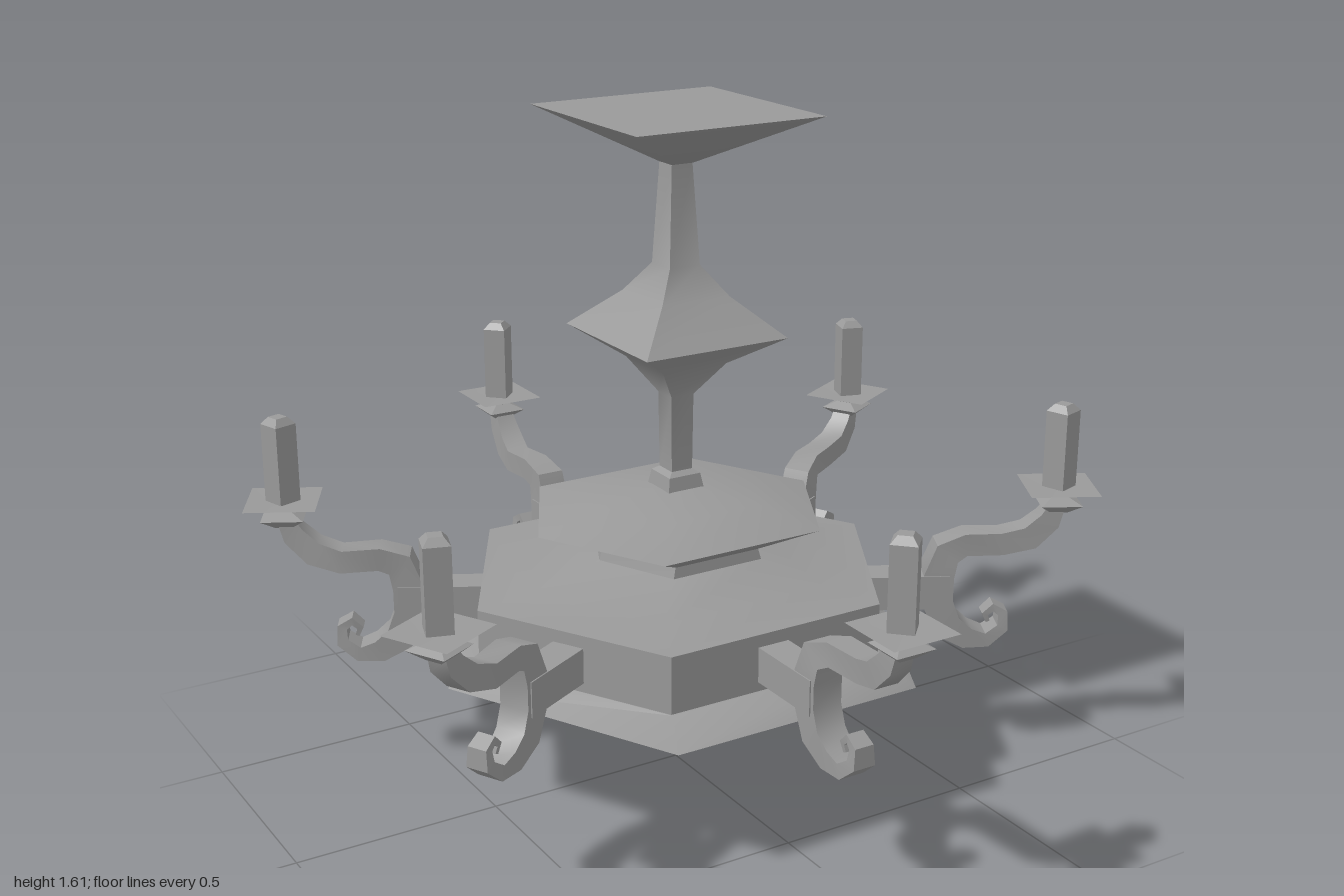
import * as THREE from 'three';
import { toCreasedNormals } from 'three/addons/utils/BufferGeometryUtils.js';

// Skin a list of equal-length rings, running bottom to top, and cap both ends
function loft(rings, crease = 0.6) {
  const pos = [];
  const n = rings[0].length;
  const tri = (...pts) => pts.forEach((p) => pos.push(p.x, p.y, p.z));
  const centre = (ring) => ring.reduce((s, p) => s.add(p), new THREE.Vector3()).divideScalar(n);
  for (let i = 0; i < rings.length - 1; i++) {
    for (let j = 0; j < n; j++) {
      const k = (j + 1) % n;
      const [a, b, c, d] = [rings[i][j], rings[i][k], rings[i + 1][k], rings[i + 1][j]];
      tri(a, d, b);
      tri(b, d, c);
    }
  }
  const first = rings[0], last = rings[rings.length - 1];
  const c0 = centre(first), c1 = centre(last);
  for (let j = 0; j < n; j++) {
    const k = (j + 1) % n;
    tri(c0, first[j], first[k]);
    tri(c1, last[k], last[j]);
  }
  const geo = new THREE.BufferGeometry();
  geo.setAttribute('position', new THREE.Float32BufferAttribute(pos, 3));
  return toCreasedNormals(geo, crease);
}

// Six-sided ring: side corner x, front corner x, front z, height, z shift
const hexRing = ([rx, cx, z, y, dz = 0]) =>
  [[rx, 0], [cx, z], [-cx, z], [-rx, 0], [-cx, -z], [cx, -z]]
    .map(([x, w]) => new THREE.Vector3(x, y, w + dz));

// Square ring, with sides (or corners) facing the axes
const squareRing = ([r, y]) =>
  [[r, -r], [r, r], [-r, r], [-r, -r]].map(([x, z]) => new THREE.Vector3(x, y, z));
const diamondRing = ([r, y]) =>
  [[r, 0], [0, r], [-r, 0], [0, -r]].map(([x, z]) => new THREE.Vector3(x, y, z));

// Rectangular bar swept along [radius, height, half thickness, half width, sideways]
function sweepBar(path) {
  const rings = path.map(([r, y, t, w, s = 0], i) => {
    const a = path[Math.max(i - 1, 0)], b = path[Math.min(i + 1, path.length - 1)];
    const len = Math.hypot(b[0] - a[0], b[1] - a[1]);
    const ux = ((b[1] - a[1]) / len) * t, uy = (-(b[0] - a[0]) / len) * t;
    return [[1, -1], [1, 1], [-1, 1], [-1, -1]]
      .map(([u, v]) => new THREE.Vector3(r + ux * u, y + uy * u, s + w * v));
  });
  return loft(rings, 0.7);
}

export function createModel() {
  const model = new THREE.Group();
  model.name = 'chandelier';
  const metal = new THREE.MeshStandardMaterial({ color: 0x999999 });
  metal.name = 'grey metal';
  const add = (parent, name, geo) => {
    const mesh = new THREE.Mesh(geo, metal);
    mesh.name = name;
    parent.add(mesh);
    return mesh;
  };

  // Finial under the bowl
  add(model, 'finial', loft([[0.001, 0], [0.083, 0.085], [0.045, 0.18], [0.055, 0.22]].map(diamondRing), 0.3));

  // Bowl, drum and neck
  add(model, 'bowl', loft([
    [0.13, 0.075, 0.15, 0.198, -0.01],
    [0.40, 0.21, 0.38, 0.24, -0.01],
    [0.605, 0.32, 0.553, 0.33, -0.012],
    [0.53, 0.28, 0.45, 0.375],
  ].map(hexRing)));
  add(model, 'drum', loft([
    [0.53, 0.28, 0.445, 0.37],
    [0.53, 0.28, 0.445, 0.513],
    [0.40, 0.215, 0.31, 0.525],
    [0.21, 0.12, 0.19, 0.57],
    [0.20, 0.11, 0.185, 0.61],
  ].map(hexRing)));

  // Upper dish
  add(model, 'upperDish', loft([
    [0.20, 0.11, 0.185, 0.595],
    [0.37, 0.21, 0.30, 0.66],
    [0.21, 0.12, 0.18, 0.703],
    [0.06, 0.035, 0.055, 0.722],
  ].map(hexRing)));

  // Square stem with its bulb, and the ceiling plate
  add(model, 'stem', loft([
    [0.05, 0.71], [0.042, 0.755], [0.028, 0.765], [0.03, 0.95], [0.085, 1.03],
    [0.187, 1.1], [0.09, 1.19], [0.04, 1.26], [0.027, 1.5],
  ].map(squareRing), 0.75));
  add(model, 'ceilingPlate', loft([[0.028, 1.495], [0.242, 1.612]].map(squareRing)));

  // Arm parts, drawn along +x and shared by all six arms
  const armGeo = sweepBar([
    [0.905, 0.65, 0.02, 0.024],
    [0.89, 0.615, 0.027, 0.026],
    [0.845, 0.572, 0.03, 0.03, -0.004],
    [0.78, 0.553, 0.028, 0.03, -0.015],
    [0.69, 0.556, 0.028, 0.032, -0.008],
    [0.643, 0.538, 0.034, 0.035],
    [0.624, 0.48, 0.037, 0.037],
    [0.624, 0.41, 0.037, 0.037],
    [0.65, 0.348, 0.035, 0.037],
    [0.70, 0.315, 0.027, 0.035],
    [0.75, 0.308, 0.018, 0.032],
    [0.788, 0.338, 0.015, 0.028],
    [0.788, 0.375, 0.012, 0.024],
    [0.764, 0.39, 0.01, 0.022],
    [0.745, 0.372, 0.008, 0.02],
    [0.753, 0.352, 0.005, 0.018],
  ]);
  const bracketGeo = new THREE.BoxGeometry(0.22, 0.085, 0.08);
  const saucerGeo = loft([
    [0.02, 0.635], [0.05, 0.66], [0.02, 0.675], [0.04, 0.686], [0.084, 0.698], [0.03, 0.697],
  ].map(squareRing));
  const candleGeo = loft([[0.041, 0.685], [0.041, 0.888], [0.022, 0.905]].map(diamondRing), 0.3);

  for (const deg of [28, 90, 152, 208, 270, 332]) {
    const side = deg % 180 !== 90;
    const arm = new THREE.Group();
    arm.name = 'arm';
    arm.rotation.y = THREE.MathUtils.degToRad(deg);
    arm.position.set(side ? 0 : -0.013, 0, -0.005);
    model.add(arm);

    const reach = side ? 0.015 : 0;
    add(arm, 'scroll', armGeo).position.x = reach;
    add(arm, 'bracket', bracketGeo).position.set(0.54 + reach, 0.44, 0);
    add(arm, 'saucer', saucerGeo).position.x = 0.912 + reach;
    add(arm, 'candle', candleGeo).position.x = 0.912 + reach;
  }
  return model;
}
